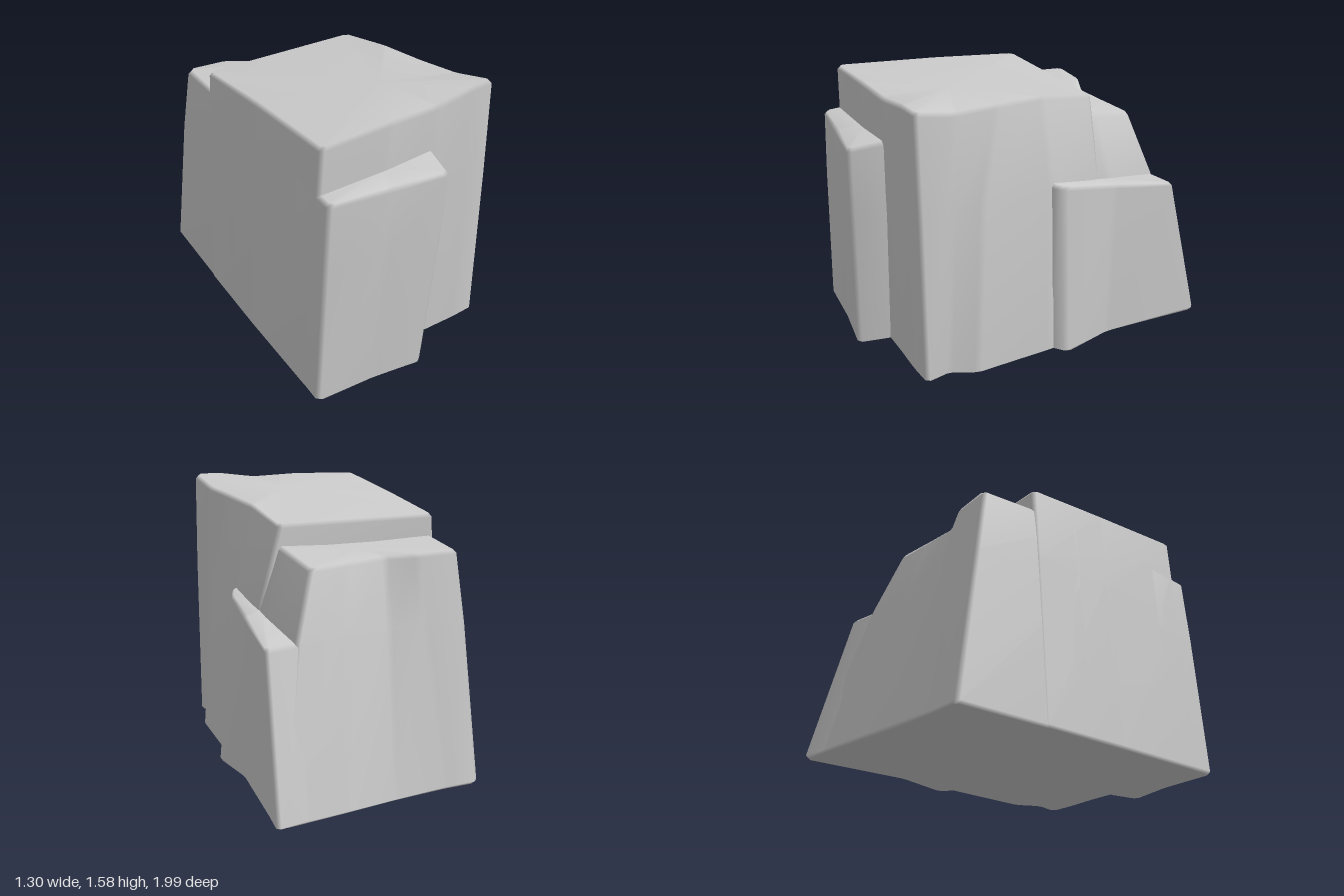
import * as THREE from 'three';

const material = new THREE.MeshStandardMaterial({ color: 0xcccccc });

// Bevelled, lofted stone. Each corner is a list of [x, y, z] points from base to top,
// with the corners running counterclockwise as seen from above.
function stone(name, corners, bevel = 0.022) {
  const levels = corners[0].length;
  const rings = [];
  for (let l = 0; l < levels; l++) {
    const pts = corners.map(c => new THREE.Vector3(...c[l]));
    const ring = [];
    // Cut every corner into two points
    pts.forEach((p, i) => {
      for (const step of [-1, 1]) {
        const q = pts[(i + step + pts.length) % pts.length];
        const d = p.distanceTo(q);
        ring.push(p.clone().lerp(q, Math.min(bevel, d * 0.3) / d));
      }
    });
    rings.push(ring);
  }

  const centre = ring => ring.reduce((s, p) => s.add(p), new THREE.Vector3()).divideScalar(ring.length);
  const inset = ring => {
    const c = centre(ring);
    return ring.map(p => {
      const d = new THREE.Vector3(c.x - p.x, 0, c.z - p.z).normalize();
      return p.clone().addScaledVector(d, bevel);
    });
  };
  const shift = (ring, dy) => ring.map(p => p.clone().setY(p.y + dy));

  // Small bevels at the base and the top rim
  const base = rings[0], top = rings[levels - 1];
  const all = [inset(base), shift(base, bevel * 0.7), ...rings.slice(1, -1), shift(top, -bevel), inset(top)];
  const n = base.length;
  const verts = all.flat();
  const index = [];
  for (let r = 0; r < all.length - 1; r++) {
    for (let i = 0; i < n; i++) {
      const a = r * n + i, b = r * n + (i + 1) % n;
      index.push(a, b, b + n, a, b + n, a + n);
    }
  }
  const topStart = (all.length - 1) * n;
  const bottomCentre = verts.push(centre(all[0])) - 1;
  const topCentre = verts.push(centre(all[all.length - 1])) - 1;
  for (let i = 0; i < n; i++) {
    const j = (i + 1) % n;
    index.push(bottomCentre, j, i, topCentre, topStart + i, topStart + j);
  }
  const geometry = new THREE.BufferGeometry().setFromPoints(verts);
  geometry.setIndex(index);
  geometry.computeVertexNormals(); // area weighted, so broad faces stay flat
  const mesh = new THREE.Mesh(geometry, material);
  mesh.name = name;
  return mesh;
}

export function createModel() {
  const rock = new THREE.Group();
  rock.name = 'rock';

  // Tall main block with a sloping top and a grooved right wall
  rock.add(stone('mainBlock', [
    [[-0.65, 0, 0.82], [-0.59, 1.0, 0.82], [-0.555, 1.53, 0.82]],
    [[-0.2, 0, 0.81], [-0.17, 1.0, 0.82], [-0.15, 1.545, 0.82]],
    [[0.18, 0, 0.8], [0.17, 1.0, 0.81], [0.15, 1.54, 0.81]],
    [[0.4, 0, 0.8], [0.4, 1.0, 0.8], [0.4, 1.575, 0.8]],
    [[0.55, 0, 0.79], [0.545, 1.0, 0.79], [0.535, 1.575, 0.79]],
    [[0.525, 0, 0.64], [0.515, 1.0, 0.6], [0.5, 1.525, 0.56]],
    [[0.6, 0, 0.5], [0.525, 1.0, 0.42], [0.45, 1.51, 0.3]],
    [[0.59, 0, 0.03], [0.52, 1.0, 0], [0.4, 1.495, 0]],
    [[0.56, 0, -0.34], [0.47, 1.0, -0.34], [0.36, 1.44, -0.34]],
    [[-0.64, 0, -0.34], [-0.59, 1.0, -0.34], [-0.565, 1.44, -0.34]],
    [[-0.65, 0, 0.2], [-0.59, 1.0, 0.2], [-0.56, 1.49, 0.2]],
  ]));

  // Lower step behind, with a shallow hollow in its sloping back
  rock.add(stone('rearStep', [
    [[-0.645, 0, 0], [-0.597, 0.9, 0], [-0.572, 1.33, 0]],
    [[0.55, 0, -0.1], [0.5, 0.95, -0.1], [0.39, 1.33, -0.1]],
    [[0.56, 0, -0.4], [0.47, 0.95, -0.4], [0.36, 1.32, -0.36]],
    [[0.58, 0, -0.985], [0.41, 0.9, -0.755], [0.3, 1.26, -0.65]],
    [[0.2, 0, -0.95], [0.12, 0.9, -0.72], [0.08, 1.27, -0.625]],
    [[-0.1, 0, -0.915], [-0.14, 0.9, -0.69], [-0.15, 1.28, -0.6]],
    [[-0.42, 0, -0.88], [-0.34, 0.9, -0.725], [-0.31, 1.295, -0.67]],
    [[-0.62, 0, -0.875], [-0.575, 0.9, -0.74], [-0.545, 1.3, -0.675]],
  ]));

  // Wedge-shaped ledge on the rear right wall
  rock.add(stone('sideLedge', [
    [[0.2, 0, 0], [0.2, 1.03, 0]],
    [[0.56, 0, 0.03], [0.525, 1.03, 0.01]],
    [[0.65, 0, -0.04], [0.555, 1.01, -0.06]],
    [[0.585, 0, -0.36], [0.575, 0.965, -0.38]],
    [[0.605, 0, -1.0], [0.585, 0.9, -0.785]],
    [[0.3, 0, -0.95], [0.3, 0.9, -0.735]],
  ]));

  // Slab leaning against the front
  rock.add(stone('frontSlab', [
    [[-0.645, 0, 0.6], [-0.6, 0.85, 0.6], [-0.574, 1.28, 0.6]],
    [[-0.652, 0, 0.93], [-0.6, 0.85, 0.92], [-0.572, 1.265, 0.91]],
    [[-0.3, 0, 0.95], [-0.25, 0.85, 0.955], [-0.24, 1.265, 0.955]],
    [[0.005, 0, 0.99], [0.075, 0.85, 0.998], [0.1, 1.27, 1.0]],
    [[0.05, 0, 0.78], [0.13, 0.85, 0.78], [0.143, 1.295, 0.78]],
    [[0, 0, 0.6], [0.06, 0.85, 0.6], [0.08, 1.295, 0.6]],
  ]));

  return rock;
}
